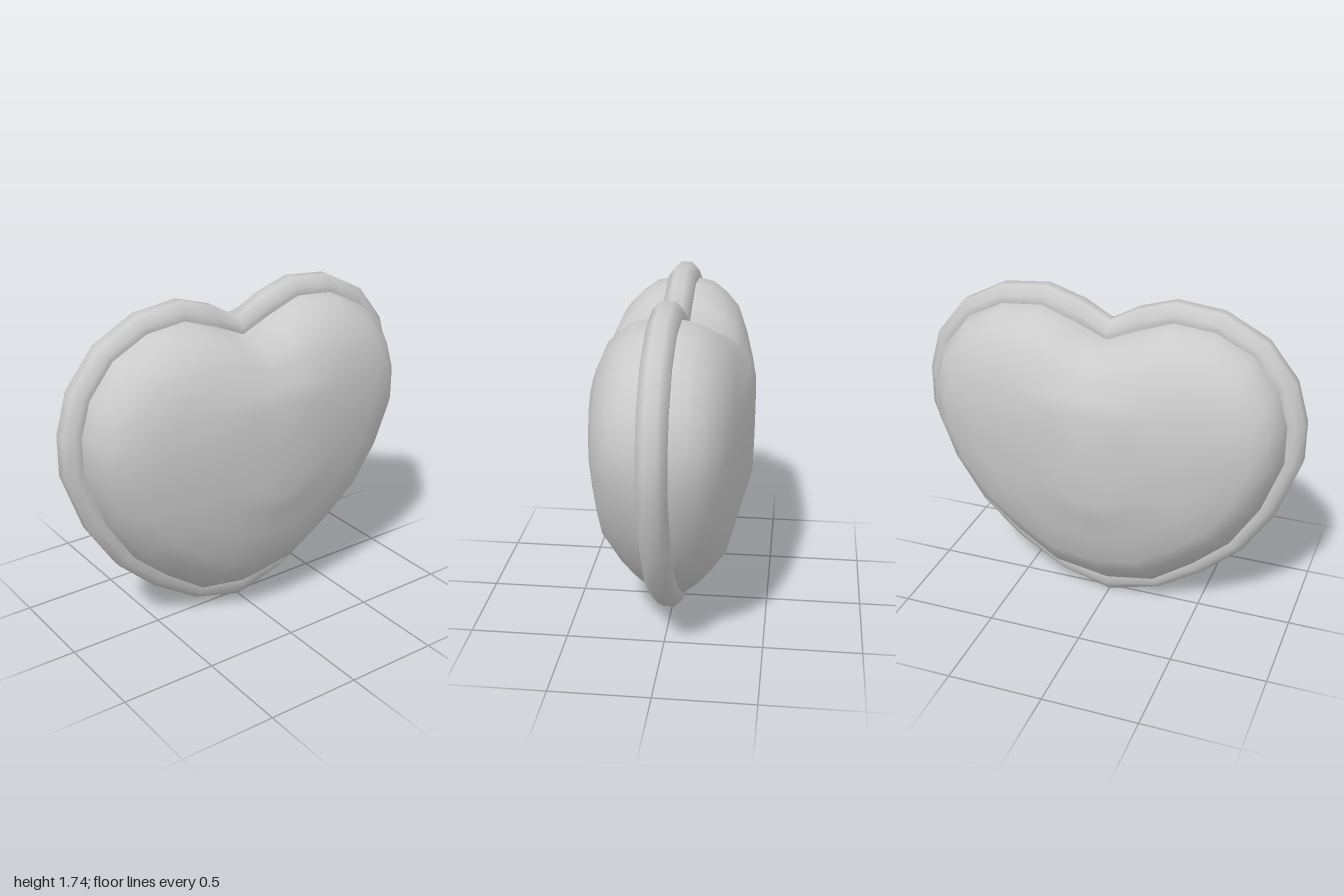
import * as THREE from 'three';
import { mergeVertices } from 'three/addons/utils/BufferGeometryUtils.js';

const material = new THREE.MeshStandardMaterial({ color: 0xcccccc });

// Right half of the heart, notch to tip: outer edge of the piping and the seam inside it
const OUTER = [[0, 1.6], [0.14, 1.68], [0.33, 1.74], [0.57, 1.715], [0.79, 1.6], [0.94, 1.41], [1, 1.2],
  [1, 0.99], [0.89, 0.68], [0.73, 0.43], [0.53, 0.245], [0.28, 0.085], [0, 0.005]];
const SEAM = [[0, 1.52], [0.16, 1.59], [0.34, 1.655], [0.55, 1.635], [0.74, 1.54], [0.87, 1.375], [0.92, 1.2],
  [0.92, 1], [0.82, 0.72], [0.67, 0.48], [0.48, 0.31], [0.26, 0.155], [0, 0.11]];

// Full clockwise loop from a half outline
const mirror = (half) => [...half, ...half.slice(1, -1).reverse().map(([x, y]) => [-x, y])];

// Smooth skin over closed rings of [x, y, z] points
function skin(name, rings, closed) {
  const n = rings[0].length;
  const index = [];
  const last = closed ? rings.length : rings.length - 1;
  for (let j = 0; j < last; j++) {
    const k = (j + 1) % rings.length;
    for (let i = 0; i < n; i++) {
      const a = j * n + i, b = j * n + (i + 1) % n;
      const c = k * n + i, d = k * n + (i + 1) % n;
      index.push(a, b, c, b, d, c);
    }
  }
  let geometry = new THREE.BufferGeometry();
  geometry.setAttribute('position', new THREE.Float32BufferAttribute(rings.flat(2), 3));
  geometry.setIndex(index);
  geometry = mergeVertices(geometry);
  geometry.computeVertexNormals();
  const mesh = new THREE.Mesh(geometry, material);
  mesh.name = name;
  return mesh;
}

// Puffed body: depth, width scale, top, bottom, how far the notch is filled
const PUFF = [
  [0.41, 0, 1.02, 1.02, 1],
  [0.403, 0.22, 1.25, 0.76, 1],
  [0.375, 0.45, 1.325, 0.67, 0.9],
  [0.335, 0.69, 1.42, 0.53, 0.7],
  [0.29, 0.86, 1.52, 0.36, 0.4],
  [0.22, 0.945, 1.59, 0.26, 0.12],
  [0.148, 0.985, 1.64, 0.175, 0],
  [0.07, 1, 1.655, 0.11, 0],
];

function bodyRing([z, scale, top, bottom, fill]) {
  return mirror(SEAM).map(([x, y]) => {
    let t = (y - 0.11) / 1.545;
    if (y > 1) t += fill * 0.1 * Math.max(0, 1 - Math.abs(x) / 0.34);
    return [x * scale, bottom + t * (top - bottom), z];
  });
}

// Piping: eight-sided section swept round the heart
function pipingRings() {
  const outer = mirror(OUTER), seam = mirror(SEAM);
  const rings = [];
  for (let s = 0; s < 8; s++) {
    const angle = Math.PI * (3 / 8 - s / 4);
    const r = 0.08 + 0.92 * Math.cos(angle) / Math.cos(Math.PI / 8);
    rings.push(outer.map(([x, y], i) => [
      seam[i][0] + (x - seam[i][0]) * r,
      seam[i][1] + (y - seam[i][1]) * r,
      0.076 * Math.sin(angle),
    ]));
  }
  return rings;
}

export function createModel() {
  const group = new THREE.Group();
  group.name = 'heartCushion';
  const front = PUFF.map(bodyRing);
  const back = [...PUFF].reverse().map(([z, ...rest]) => bodyRing([-z, ...rest]));
  group.add(skin('cushionBody', [...front, ...back], false));
  group.add(skin('piping', pipingRings(), true));
  return group;
}
